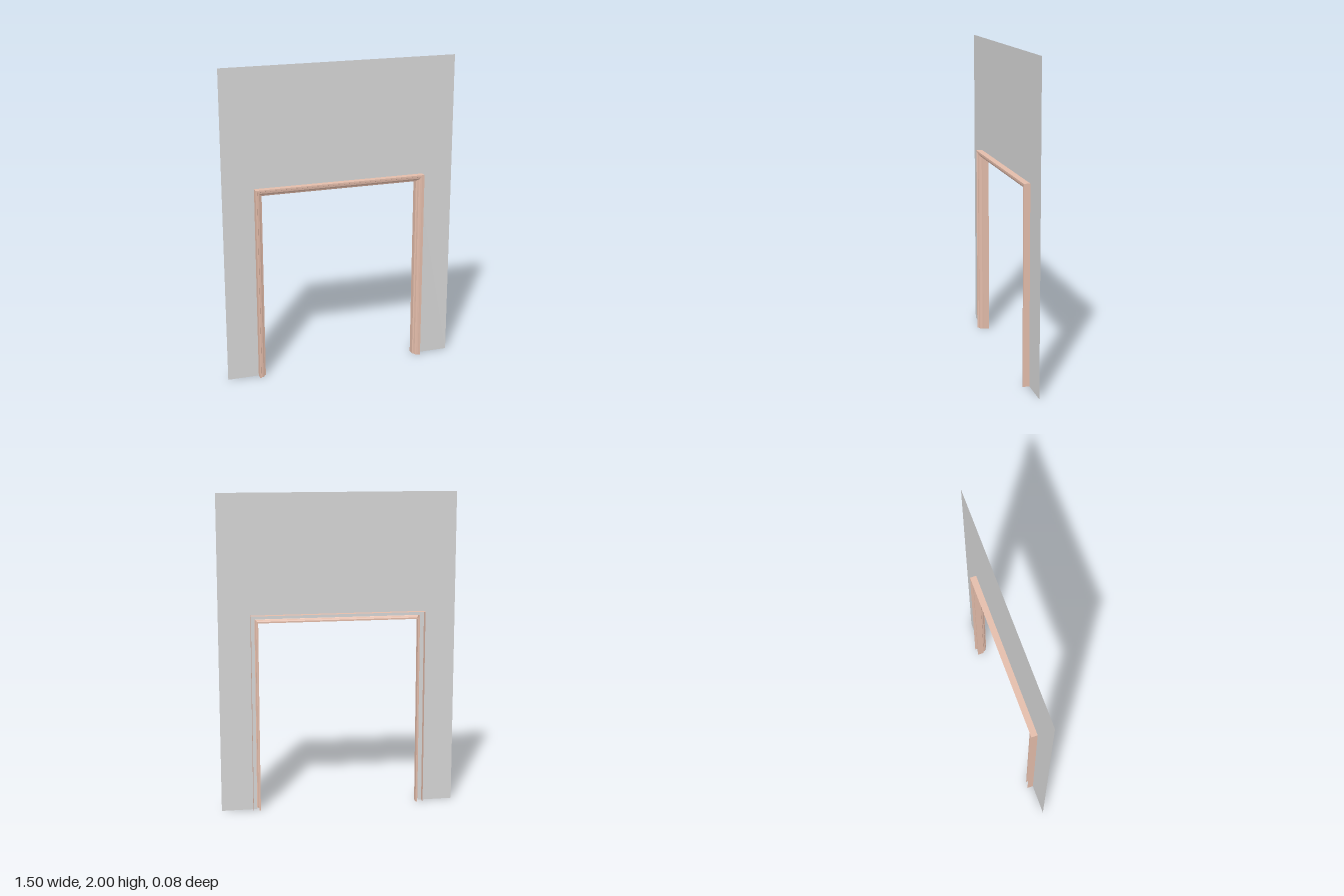
import * as THREE from 'three';

const wallGrey = new THREE.MeshStandardMaterial({ color: 0xd4d4d4, side: THREE.DoubleSide });
wallGrey.name = 'wallGrey';
const frameBeige = new THREE.MeshStandardMaterial({ color: 0xe3bcaa, side: THREE.DoubleSide, flatShading: true });
frameBeige.name = 'frameBeige';

const HALF = 0.55; // outer half width of the frame
const TOP = 1.25; // outer height of the frame

// Moulding section: [distance inward from the outer edge, z], open at the back
const section = [
  [0, -0.04], [0, 0.04], [0.01, 0.04], [0.013, 0.032], [0.024, 0.03],
  [0.033, 0.024], [0.036, 0.012], [0.045, 0.008], [0.045, -0.033], [0.036, -0.033],
];

// Sweeps the section along one side of the opening, with mitred ends
function frameSide(name, start, end) {
  const positions = [];
  for (let i = 0; i < section.length - 1; i++) {
    const [d0, z0] = section[i];
    const [d1, z1] = section[i + 1];
    const a = [...start(d0), z0], b = [...end(d0), z0];
    const c = [...end(d1), z1], d = [...start(d1), z1];
    positions.push(...a, ...b, ...c, ...a, ...c, ...d);
  }
  const geometry = new THREE.BufferGeometry();
  geometry.setAttribute('position', new THREE.Float32BufferAttribute(positions, 3));
  geometry.computeVertexNormals();
  const mesh = new THREE.Mesh(geometry, frameBeige);
  mesh.name = name;
  return mesh;
}

export function createModel() {
  const model = new THREE.Group();
  model.name = 'doorwayWall';

  // Thin wall with the doorway cut out of its lower edge
  const outline = new THREE.Shape([
    [-0.75, 0], [-0.525, 0], [-0.525, 1.225], [0.525, 1.225],
    [0.525, 0], [0.75, 0], [0.75, 2], [-0.75, 2],
  ].map(([x, y]) => new THREE.Vector2(x, y)));
  const wall = new THREE.Mesh(new THREE.ShapeGeometry(outline), wallGrey);
  wall.name = 'wall';
  model.add(wall);

  // Moulded frame: two jambs and a head meeting at mitred corners
  const frame = new THREE.Group();
  frame.name = 'doorFrame';
  const rightFoot = (d) => [-HALF + d, 0];
  const rightCorner = (d) => [-HALF + d, TOP - d];
  const leftCorner = (d) => [HALF - d, TOP - d];
  const leftFoot = (d) => [HALF - d, 0];
  frame.add(
    frameSide('rightJamb', rightFoot, rightCorner),
    frameSide('head', rightCorner, leftCorner),
    frameSide('leftJamb', leftCorner, leftFoot),
  );
  model.add(frame);
  return model;
}
